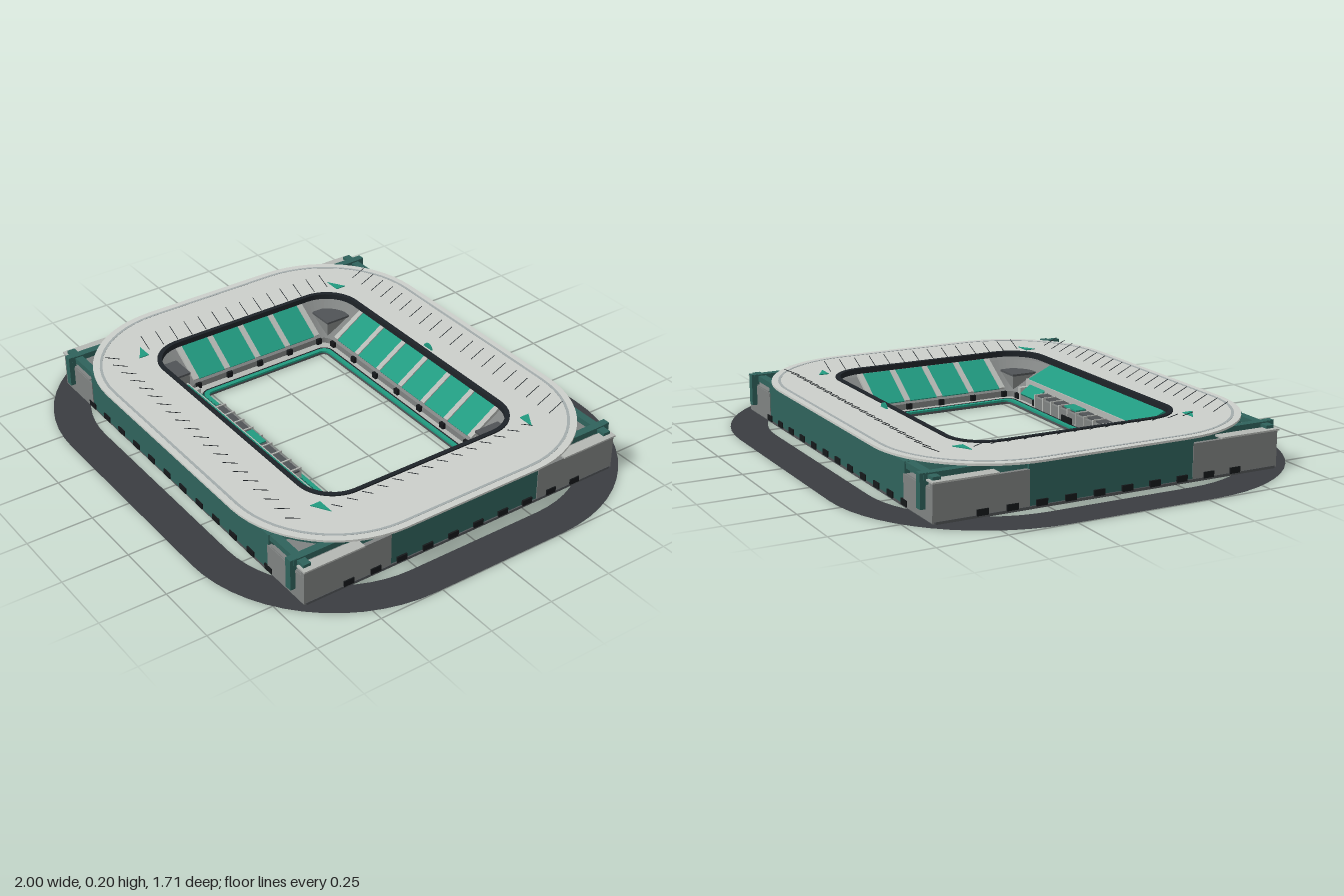
import * as THREE from 'three';

const mat = (color) => new THREE.MeshStandardMaterial({ color, side: THREE.DoubleSide, flatShading: true });
const M = {
  road: mat(0x3a3d41), wall: mat(0x2f625b), seat: mat(0x219a80), roof: mat(0xcccfca), groove: mat(0xa3abac),
  rim: mat(0x1e2328), grey: mat(0x7f8281), light: mat(0xb4b7b3), floor: mat(0x505356), black: mat(0x15181a),
};

// Rounded rectangle outline as points, half sizes hx, hz and corner radius r
function outline(hx, hz, r, n = 14) {
  const pts = [];
  const signs = [[1, 1], [-1, 1], [-1, -1], [1, -1]];
  signs.forEach(([sx, sz], c) => {
    for (let i = 0; i <= n; i++) {
      const a = (c + i / n) * Math.PI / 2;
      pts.push(new THREE.Vector2(sx * (hx - r) + r * Math.cos(a), sz * (hz - r) + r * Math.sin(a)));
    }
  });
  return pts;
}

function add(parent, name, geo, material, x = 0, y = 0, z = 0) {
  const mesh = new THREE.Mesh(geo, material);
  mesh.name = name;
  mesh.position.set(x, y, z);
  parent.add(mesh);
  return mesh;
}

const box = (parent, name, material, w, h, d, x, y, z) =>
  add(parent, name, new THREE.BoxGeometry(w, h, d), material, x, y, z);

// Flat ring with a rounded outer edge and a rounded hole
function ring(parent, name, material, outer, inner, y, h) {
  const shape = new THREE.Shape(outline(...outer));
  shape.holes.push(new THREE.Path(outline(...inner)));
  const geo = h
    ? new THREE.ExtrudeGeometry(shape, { depth: h, bevelEnabled: false })
    : new THREE.ShapeGeometry(shape);
  return add(parent, name, geo.rotateX(-Math.PI / 2), material, 0, y, 0);
}

// Skin through stacked rounded rectangles [hx, hz, r, y]
function loft(parent, name, material, sections) {
  const pos = [], idx = [];
  let n = 0;
  sections.forEach(([hx, hz, r, y], s) => {
    const pts = outline(hx, hz, r);
    n = pts.length;
    pts.forEach((p) => pos.push(p.x, y, p.y));
    if (s) for (let i = 0; i < n; i++) {
      const j = (i + 1) % n, a = (s - 1) * n, b = s * n;
      idx.push(a + i, b + i, a + j, a + j, b + i, b + j);
    }
  });
  const geo = new THREE.BufferGeometry();
  geo.setAttribute('position', new THREE.Float32BufferAttribute(pos, 3));
  geo.setIndex(idx);
  geo.computeVertexNormals();
  return add(parent, name, geo, material);
}

// Thin rod between two points
function rod(parent, name, material, a, b, r) {
  const dir = b.clone().sub(a);
  const mesh = add(parent, name, new THREE.CylinderGeometry(r, r, dir.length(), 5), material);
  mesh.position.copy(a).add(b).multiplyScalar(0.5);
  mesh.quaternion.setFromUnitVectors(new THREE.Vector3(0, 1, 0), dir.normalize());
}

// Sloped slab in a side's own frame, rising outward along +z
function slope(parent, name, material, w, x, z0, y0, z1, y1, t) {
  const len = Math.hypot(z1 - z0, y1 - y0);
  const m = box(parent, name, material, w, t, len, x, (y0 + y1) / 2, (z0 + z1) / 2);
  m.rotation.x = -Math.atan2(y1 - y0, z1 - z0);
}

// One seated side: blocks of seats, aisles, entrances, roof stays and wall openings
function buildSide(root, name, angle, o) {
  const g = new THREE.Group();
  g.name = name;
  g.rotation.y = angle;
  root.add(g);
  const z0 = o.inner, pitch = 2 * o.half / o.blocks;
  for (let i = 0; i < o.blocks; i++) {
    const x = -o.half + (i + 0.5) * pitch;
    if (!o.main) slope(g, 'seatBlock', M.seat, pitch * 0.82, x, z0 + 0.01, 0.045, z0 + 0.15, 0.138, 0.008);
  }
  for (let i = 0; i <= o.blocks; i++) {
    const x = -o.half + i * pitch;
    if (!o.main) slope(g, 'aisle', M.light, pitch * 0.16, x, z0 + 0.01, 0.046, z0 + 0.15, 0.139, 0.012);
    box(g, 'entrance', M.black, 0.022, 0.022, 0.012, x, 0.028, z0 - 0.006);
  }
  for (let i = 0; i < o.stays; i++) {
    const x = (i - (o.stays - 1) / 2) * 0.0635;
    rod(g, 'roofStay', M.rim, new THREE.Vector3(x, 0.172, o.stayZ), new THREE.Vector3(x, 0.2, o.stayZ + 0.06), 0.0013);
  }
  for (let i = 0; i < o.doors; i++) {
    const x = (i - (o.doors - 1) / 2) * 0.109;
    box(g, 'wallOpening', M.black, 0.042, 0.022, 0.012, x, 0.018, o.wall);
  }
  return g;
}

export function createModel() {
  const root = new THREE.Group();
  root.name = 'stadium';

  // Ring road and base floor
  ring(root, 'ringRoad', M.road, [1, 0.855, 0.58], [0.86, 0.715, 0.44], 0.001, 0);
  ring(root, 'baseFloor', M.floor, [0.81, 0.665, 0.01], [0.42, 0.275, 0.02], 0, 0.01);
  ring(root, 'pitchBorder', M.seat, [0.435, 0.292, 0.035], [0.418, 0.275, 0.025], 0.01, 0.008);
  ring(root, 'pitchKerb', M.rim, [0.44, 0.297, 0.04], [0.435, 0.292, 0.035], 0.01, 0.009);
  ring(root, 'concourse', M.light, [0.48, 0.325, 0.03], [0.44, 0.297, 0.03], 0.01, 0.005);

  // Outer wall and concrete bowl
  loft(root, 'outerWall', M.wall, [[0.8, 0.66, 0.4, 0.005], [0.8, 0.66, 0.4, 0.157]]);
  loft(root, 'bowl', M.grey, [
    [0.475, 0.32, 0.04, 0.012], [0.475, 0.32, 0.04, 0.038], [0.625, 0.47, 0.15, 0.13], [0.79, 0.65, 0.39, 0.14],
  ]);
  for (const s of [1, -1]) {
    box(root, 'longFacade', M.wall, 1.2, 0.15, 0.02, 0, 0.08, s * 0.655);
    box(root, 'sideFacade', M.wall, 0.02, 0.15, 0.64, s * 0.795, 0.08, 0);
  }

  // Roof with inner rim and perimeter groove
  ring(root, 'roof', M.roof, [0.84, 0.695, 0.42], [0.585, 0.44, 0.14], 0.163, 0.008);
  ring(root, 'roofGroove', M.groove, [0.815, 0.672, 0.4], [0.805, 0.662, 0.39], 0.17, 0.002);
  ring(root, 'roofRim', M.rim, [0.59, 0.445, 0.145], [0.573, 0.428, 0.13], 0.155, 0.021);

  // Four sides
  buildSide(root, 'backStand', Math.PI, { inner: 0.32, half: 0.42, blocks: 6, stays: 20, stayZ: 0.54, doors: 12, wall: 0.664 });
  const main = buildSide(root, 'mainStand', 0, { inner: 0.32, half: 0.42, blocks: 6, stays: 20, stayZ: 0.54, doors: 12, wall: 0.664, main: true });
  for (const s of [1, -1]) {
    buildSide(root, 'endStand', s * Math.PI / 2, { inner: 0.475, half: 0.28, blocks: 4, stays: 14, stayZ: 0.6, doors: 10, wall: 0.806 });
  }

  // Main stand: upper tier, boxes and lower seats
  slope(main, 'upperTier', M.seat, 0.82, 0, 0.36, 0.088, 0.48, 0.142, 0.01);
  box(main, 'upperTierFront', M.light, 0.84, 0.03, 0.008, 0, 0.078, 0.358);
  box(main, 'boxRow', M.grey, 0.5, 0.05, 0.06, 0, 0.037, 0.328);
  box(main, 'boxRowRoof', M.floor, 0.52, 0.006, 0.05, 0, 0.066, 0.335);
  box(main, 'tunnel', M.black, 0.07, 0.03, 0.01, 0, 0.027, 0.296);
  box(main, 'centreSeats', M.seat, 0.09, 0.006, 0.045, 0, 0.071, 0.332);
  for (let i = -4; i <= 4; i++) box(main, 'boxDivider', M.light, 0.006, 0.062, 0.064, i * 0.062, 0.041, 0.328);
  for (const s of [1, -1]) {
    slope(main, 'lowerSeats', M.seat, 0.12, s * 0.33, 0.315, 0.04, 0.365, 0.078, 0.01);
    box(main, 'lowerAisle', M.light, 0.02, 0.05, 0.05, s * 0.405, 0.04, 0.34);
  }

  // Corners: inner block, outer tower, frame and roof marker
  for (const sx of [1, -1]) for (const sz of [1, -1]) {
    const g = new THREE.Group();
    g.name = 'corner';
    root.add(g);
    const b = (name, m, w, h, d, x, y, z) => box(g, name, m, w, h, d, sx * x, y, sz * z);
    b('innerBlock', M.grey, 0.1, 0.085, 0.1, 0.515, 0.055, 0.37);
    b('innerBlockCap', M.floor, 0.106, 0.008, 0.106, 0.515, 0.1, 0.37);
    b('towerFront', M.grey, 0.21, 0.11, 0.015, 0.7, 0.06, 0.66);
    b('towerSide', M.grey, 0.015, 0.13, 0.35, 0.8, 0.07, 0.492);
    b('towerDeck', M.grey, 0.19, 0.006, 0.22, 0.71, 0.117, 0.555);
    b('towerLedge', M.light, 0.045, 0.006, 0.24, 0.792, 0.14, 0.55);
    b('frontBeam', M.wall, 0.21, 0.022, 0.03, 0.69, 0.143, 0.645);
    b('sideBeam', M.wall, 0.03, 0.022, 0.24, 0.745, 0.148, 0.555);
    b('post', M.wall, 0.028, 0.12, 0.03, 0.745, 0.1, 0.672);
    const tri = new THREE.Shape([[0.565, 0.475], [0.565, 0.435], [0.63, 0.435]]
      .map(([x, z]) => new THREE.Vector2(sx * x, -sz * z)));
    add(g, 'roofMarker', new THREE.ExtrudeGeometry(tri, { depth: 0.003, bevelEnabled: false }).rotateX(-Math.PI / 2), M.seat, 0, 0.171, 0);
  }

  // Round sign standing on the back roof edge
  add(root, 'roofSign', new THREE.CylinderGeometry(0.025, 0.025, 0.006, 24).rotateX(Math.PI / 2), M.seat, 0, 0.165, -0.46);
  return root;
}
